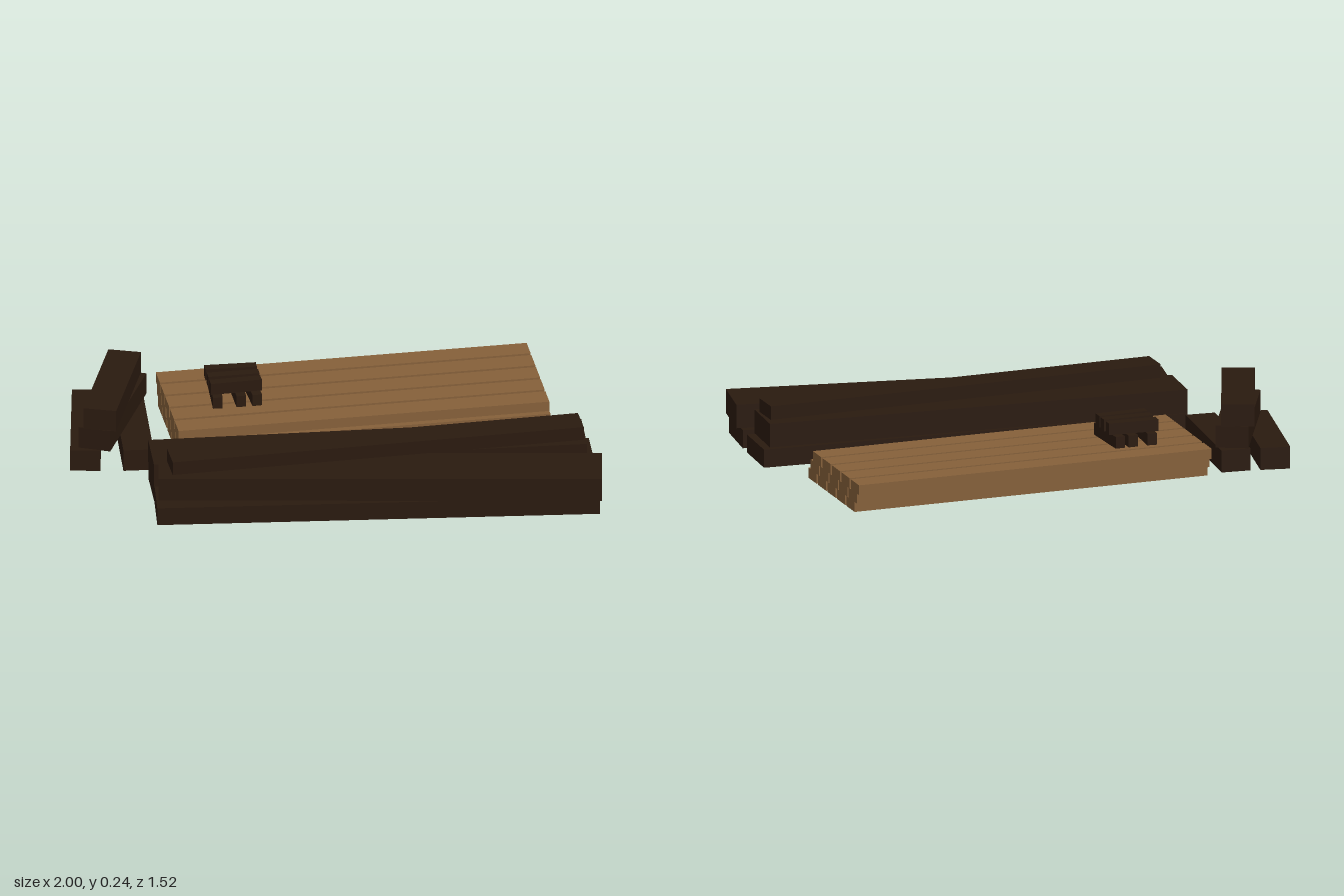
import * as THREE from 'three';

const tan = new THREE.MeshStandardMaterial({ color: 0x85603a });
const dark = new THREE.MeshStandardMaterial({ color: 0x2a1a0f });
const rad = THREE.MathUtils.degToRad;

// box with its size, centre in plan, bottom height and turn about y
function timber(parent, name, mat, [w, h, d], [x, y, z], turn = 0) {
  const mesh = new THREE.Mesh(new THREE.BoxGeometry(w, h, d), mat);
  mesh.name = name;
  mesh.position.set(x, y + h / 2, z);
  mesh.rotation.y = rad(turn);
  parent.add(mesh);
}

function group(parent, name, x = 0, y = 0, z = 0, turn = 0) {
  const g = new THREE.Group();
  g.name = name;
  g.position.set(x, y, z);
  g.rotation.y = rad(turn);
  parent.add(g);
  return g;
}

export function createModel() {
  const model = new THREE.Group();
  model.name = 'lumberPile';

  // plank stack: three layers of five boards, each layer stepped sideways
  const stack = group(model, 'plankStack', -0.053, 0, -0.232, 27.7);
  const pitch = 0.094, thick = 0.036;
  for (let layer = 0; layer < 3; layer++) {
    for (let i = 0; i < 5; i++) {
      timber(stack, 'plank', tan, [1.305, thick, pitch - 0.013],
        [0, layer * thick, (i - 2) * pitch + (1 - layer) * 0.022]);
    }
  }

  // small crossed sticks lying on the planks
  const sticks = group(model, 'stickPile', -0.44, 0.108, -0.07, 27);
  for (const x of [-0.064, 0.012, 0.064]) {
    timber(sticks, 'lowerStick', dark, [0.034, 0.042, 0.195], [x, 0, 0], x * 50);
  }
  for (const z of [-0.055, 0, 0.052]) {
    timber(sticks, 'upperStick', dark, [0.18, 0.042, 0.034], [0, 0.042, z], z * 40);
  }

  // long beams: two at the bottom, two above, one narrow beam on top
  const beams = group(model, 'longBeams');
  [
    ['frontLowerBeam', 1.537, 0.065, 0.2, 0.2315, 0, 0.391, 21],
    ['backLowerBeam', 1.537, 0.065, 0.2, 0.151, 0, 0.199, 24.4],
    ['frontUpperBeam', 1.537, 0.085, 0.2, 0.237, 0.065, 0.373, 17.7],
    ['backUpperBeam', 1.51, 0.085, 0.19, 0.14, 0.065, 0.212, 23.8],
    ['topBeam', 1.45, 0.049, 0.11, 0.185, 0.15, 0.265, 28.5],
  ].forEach(([name, l, h, w, x, y, z, turn]) =>
    timber(beams, name, dark, [l, h, w], [x, y, z], turn));

  // short beams: two at the bottom, two stacked across them
  const blocks = group(model, 'shortBeams');
  [
    ['outerShortBeam', 0.105, 0.465, -0.883, 0, 0.217, 17],
    ['innerShortBeam', 0.105, 0.465, -0.73, 0, 0.165, 22.7],
    ['middleShortBeam', 0.115, 0.46, -0.795, 0.08, 0.195, 2],
    ['topShortBeam', 0.115, 0.46, -0.795, 0.158, 0.195, 7],
  ].forEach(([name, w, l, x, y, z, turn]) =>
    timber(blocks, name, dark, [w, 0.079, l], [x, y, z], turn));

  return model;
}
